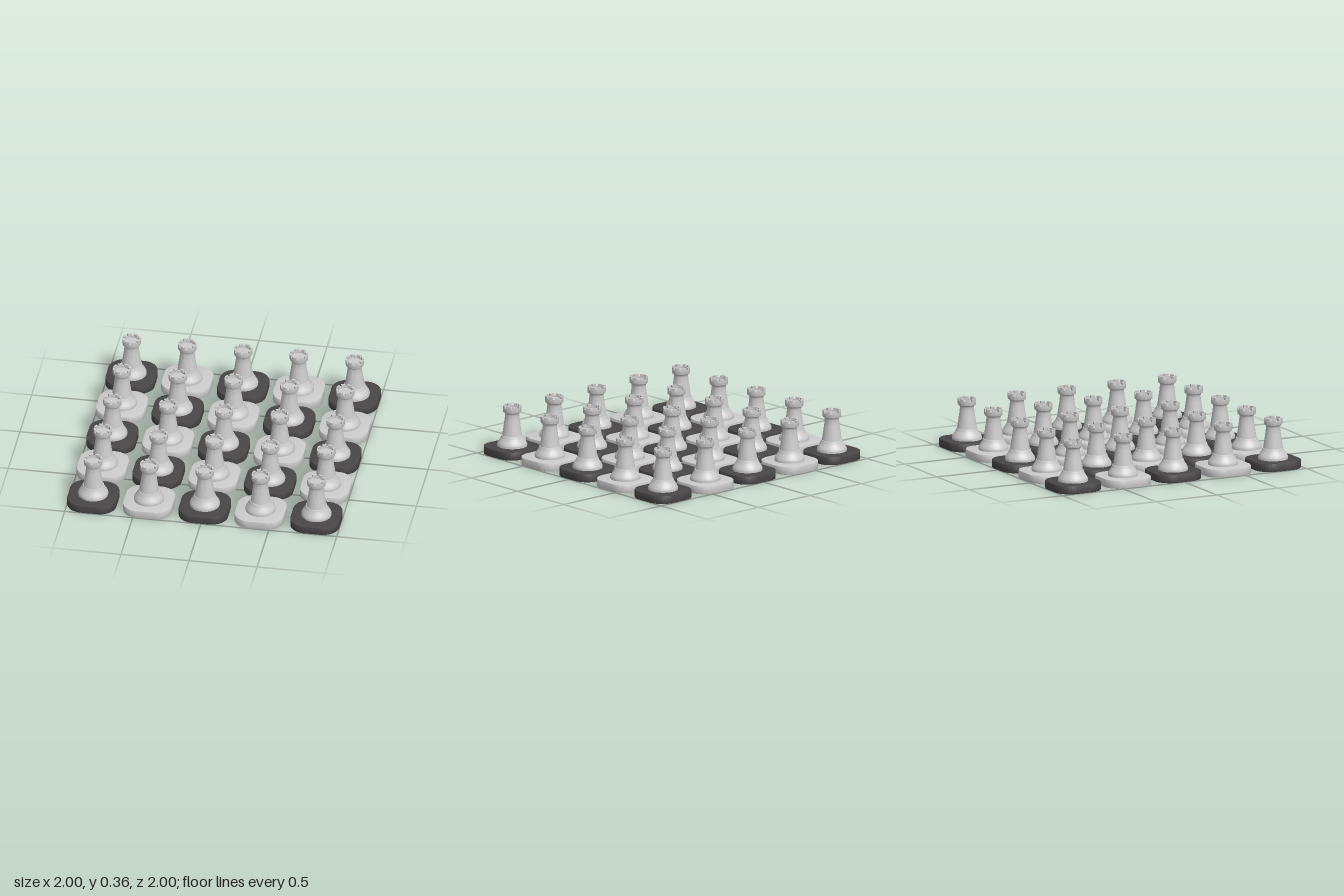
import * as THREE from 'three';
import { toCreasedNormals } from 'three/addons/utils/BufferGeometryUtils.js';

const COUNT = 5, PITCH = 0.41, TILE = 0.36, TILE_H = 0.06;
const lightMat = new THREE.MeshStandardMaterial({ color: 0xcccccc });
const darkMat = new THREE.MeshStandardMaterial({ color: 0x484647 });

// Extrude a flat outline straight up in y
function extrudeUp(shape, depth, options = {}) {
  const geo = new THREE.ExtrudeGeometry(shape, { depth, bevelEnabled: false, curveSegments: 10, ...options });
  return toCreasedNormals(geo.rotateX(-Math.PI / 2), 0.6);
}

// Rounded square tile with a fine edge bevel
function tileGeometry() {
  const b = 0.004, h = TILE / 2 - b, r = 0.115;
  const s = new THREE.Shape();
  s.absarc(h - r, h - r, r, 0, Math.PI / 2);
  s.absarc(r - h, h - r, r, Math.PI / 2, Math.PI);
  s.absarc(r - h, r - h, r, Math.PI, Math.PI * 1.5);
  s.absarc(h - r, r - h, r, Math.PI * 1.5, Math.PI * 2);
  s.closePath();
  const geo = extrudeUp(s, TILE_H - 2 * b, { bevelEnabled: true, bevelSize: b, bevelThickness: b, bevelSegments: 2 });
  return geo.translate(0, b, 0);
}

// Turned body: flared foot, tapering shaft, crown cup with a sunken floor
function bodyGeometry() {
  const profile = [
    [0, 0], [0.109, 0], [0.11, 0.01], [0.107, 0.022], [0.098, 0.038], [0.087, 0.055],
    [0.08, 0.07], [0.077, 0.08], [0.072, 0.081], [0.064, 0.135], [0.056, 0.19],
    [0.051, 0.232], [0.053, 0.244], [0.058, 0.25], [0.065, 0.254], [0.067, 0.26],
    [0.067, 0.286], [0.052, 0.286], [0.052, 0.275], [0, 0.275],
  ].map(([x, y]) => new THREE.Vector2(x, y));
  return toCreasedNormals(new THREE.LatheGeometry(profile, 40), 0.6);
}

// One battlement: a short sector of the crown ring
function merlonGeometry() {
  const a = 0.27;
  const s = new THREE.Shape();
  s.absarc(0, 0, 0.067, -a, a, false);
  s.absarc(0, 0, 0.052, a, -a, true);
  s.closePath();
  return extrudeUp(s, 0.016, { curveSegments: 5 });
}

export function createModel() {
  const model = new THREE.Group();
  model.name = 'rookBoard';
  const tileGeo = tileGeometry(), bodyGeo = bodyGeometry(), merlonGeo = merlonGeometry();

  const add = (parent, geo, mat, name) => {
    const mesh = new THREE.Mesh(geo, mat);
    mesh.name = name;
    parent.add(mesh);
    return mesh;
  };

  for (let row = 0; row < COUNT; row++) {
    for (let col = 0; col < COUNT; col++) {
      const square = new THREE.Group();
      square.name = `square${row + 1}_${col + 1}`;
      square.position.set((col - 2) * PITCH, 0, (2 - row) * PITCH);
      add(square, tileGeo, (row + col) % 2 ? lightMat : darkMat, 'tile');

      // Rook standing on the tile
      const rook = new THREE.Group();
      rook.name = 'rook';
      rook.position.y = TILE_H;
      add(rook, bodyGeo, lightMat, 'rookBody');
      for (let i = 0; i < 8; i++) {
        const merlon = add(rook, merlonGeo, lightMat, 'battlement');
        merlon.position.y = 0.286;
        merlon.rotation.y = (i + 0.5) * Math.PI / 4;
      }
      square.add(rook);
      model.add(square);
    }
  }
  return model;
}
